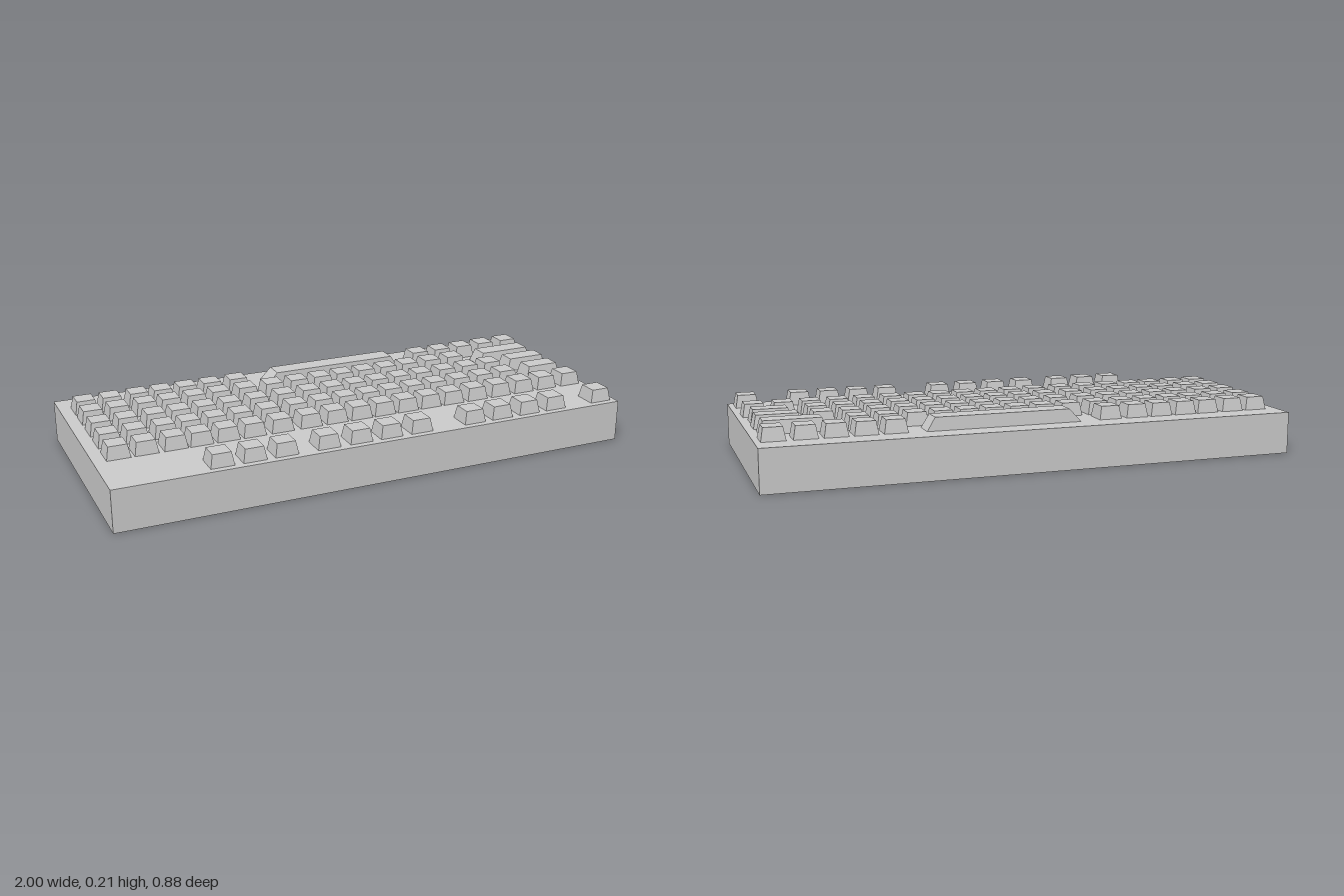
import * as THREE from 'three';

const material = new THREE.MeshStandardMaterial({ color: 0xcccccc, flatShading: true });
const DECK = 0.158, KEY_TOP = 0.207, SIZE = 0.087;

// Tapered key cap: footprint w x d, top inset on the left, right and in depth
function keyCap(name, x, z, w = SIZE, d = SIZE, left = 0.009, right = 0.009, inset = 0.008) {
  const h = KEY_TOP - DECK;
  const geometry = new THREE.BoxGeometry(w, h, d);
  const p = geometry.attributes.position;
  for (let i = 0; i < p.count; i++) {
    if (p.getY(i) < 0) continue;
    p.setX(i, p.getX(i) + (p.getX(i) < 0 ? left : -right));
    p.setZ(i, p.getZ(i) - Math.sign(p.getZ(i)) * inset);
  }
  geometry.computeVertexNormals();
  const mesh = new THREE.Mesh(geometry, material);
  mesh.name = name;
  mesh.position.set(x, DECK + h / 2, z);
  return mesh;
}

export function createModel() {
  const model = new THREE.Group();
  model.name = 'keyboard';

  // Case
  const body = new THREE.Mesh(new THREE.BoxGeometry(2, DECK, 0.884), material);
  body.name = 'case';
  body.position.y = DECK / 2;
  model.add(body);

  // Column positions shared by the main rows
  const leftCols = [-0.91, -0.81, -0.704, -0.61, -0.51, -0.41, -0.302];
  const midCols = [-0.19, -0.086, 0.014, 0.111, 0.208, 0.306, 0.405];
  const rightCols = [0.51, 0.615];
  const all = [...leftCols, ...midCols, ...rightCols];
  const rows = [
    ['modifierRow', -0.307, [...leftCols, ...rightCols, 0.72, 0.825, 0.935]],
    ['lowerLetterRow', -0.198, all],
    ['homeRow', -0.074, [...all, 0.72]],
    ['upperLetterRow', 0.045, [...all, 0.72]],
    ['numberRow', 0.165, [...all, 0.72, 0.825, 0.935]],
    ['functionRow', 0.374, [-0.605, -0.487, -0.37, -0.21, -0.085, 0.035, 0.157,
      0.378, 0.495, 0.613, 0.73, 0.935]],
  ];
  for (const [name, z, columns] of rows) {
    const row = new THREE.Group();
    row.name = name;
    for (const x of columns) row.add(keyCap('key', x, z));
    model.add(row);
  }

  // Wide keys
  model.add(
    keyCap('spaceBar', 0.11, -0.313, 0.583, 0.085, 0.045, 0.03, 0.004),
    keyCap('shiftKey', 0.845, -0.186, 0.24, 0.086, 0.02, 0.012),
    keyCap('enterKey', 0.883, -0.074, 0.176, 0.082, 0.014, 0.01),
    keyCap('backslashKey', 0.891, 0.04, 0.15, 0.082, 0.012, 0.01),
  );
  return model;
}
